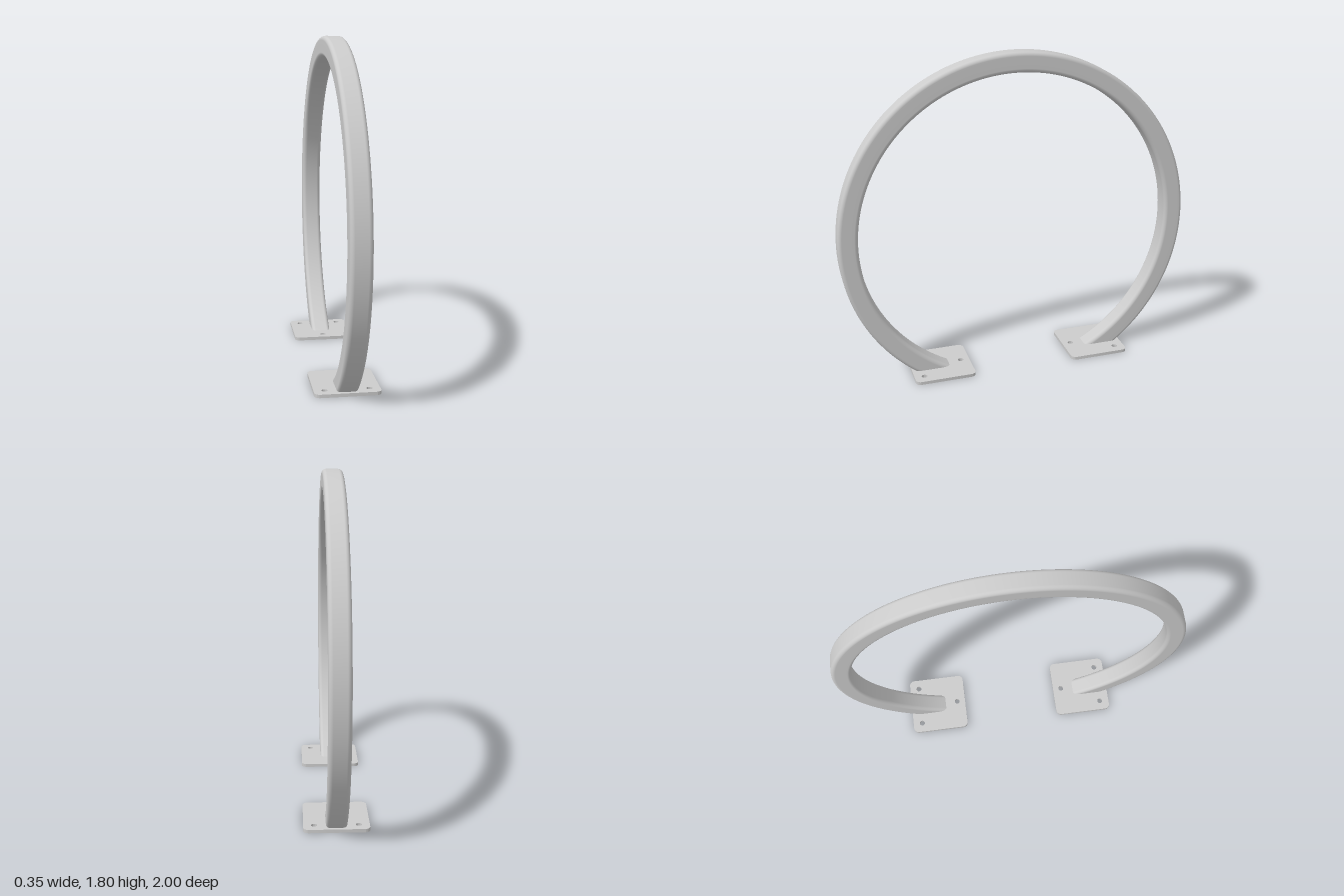
import * as THREE from 'three';
import { toCreasedNormals } from 'three/addons/utils/BufferGeometryUtils.js';

const CENTRE_Y = 0.805, RING_R = 0.945, PLATE_T = 0.018;
const PLATE_HALF = 0.173, PLATE_Z = 0.463;

// Rounded square cross-section, counter-clockwise
function roundedSquare(half, radius, steps = 6) {
  const points = [];
  for (let c = 0; c < 4; c++) {
    const mid = Math.PI / 4 + c * Math.PI / 2;
    const cx = Math.sign(Math.cos(mid)) * (half - radius);
    const cy = Math.sign(Math.sin(mid)) * (half - radius);
    for (let k = 0; k <= steps; k++) {
      const a = (c + k / steps) * Math.PI / 2;
      points.push([cx + radius * Math.cos(a), cy + radius * Math.sin(a)]);
    }
  }
  return points;
}

// Sweep a section round the ring; each lengthwise line stops on the plate's top plane
function ringWall(section, inward) {
  const loops = 144, n = section.length, positions = [], index = [];
  for (let i = 0; i <= loops; i++) {
    for (const [x, offset] of section) {
      const r = RING_R + offset;
      const end = Math.PI - Math.acos((CENTRE_Y - PLATE_T) / r);
      const a = end * (2 * i / loops - 1);
      positions.push(x, CENTRE_Y + r * Math.cos(a), r * Math.sin(a));
    }
  }
  for (let i = 0; i < loops; i++) {
    for (let j = 0; j < n; j++) {
      const k = (j + 1) % n;
      const a = i * n + j, b = i * n + k, c = a + n, d = b + n;
      if (inward) index.push(a, c, b, b, c, d);
      else index.push(a, b, c, b, d, c);
    }
  }
  const geometry = new THREE.BufferGeometry();
  geometry.setAttribute('position', new THREE.Float32BufferAttribute(positions, 3));
  geometry.setIndex(index);
  geometry.computeVertexNormals();
  return geometry;
}

// Rounded plate with three bolt holes and a drain hole under the tube
function plateGeometry() {
  const h = PLATE_HALF, r = 0.03;
  const shape = new THREE.Shape();
  shape.absarc(h - r, h - r, r, 0, Math.PI / 2);
  shape.absarc(r - h, h - r, r, Math.PI / 2, Math.PI);
  shape.absarc(r - h, r - h, r, Math.PI, Math.PI * 1.5);
  shape.absarc(h - r, r - h, r, Math.PI * 1.5, Math.PI * 2);
  shape.closePath();
  const holes = [[-0.116, 0.117, 0.016], [0.116, 0.117, 0.016], [0, -0.122, 0.016], [0, 0.036, 0.043]];
  for (const [x, y, radius] of holes) {
    const hole = new THREE.Path();
    hole.absarc(x, y, radius, 0, Math.PI * 2, true);
    shape.holes.push(hole);
  }
  const geometry = new THREE.ExtrudeGeometry(shape, { depth: PLATE_T, bevelEnabled: false, curveSegments: 16 });
  geometry.rotateX(-Math.PI / 2);
  geometry.translate(0, 0, -PLATE_Z);
  return toCreasedNormals(geometry, 0.7);
}

export function createModel() {
  const model = new THREE.Group();
  model.name = 'hoopRack';
  const material = new THREE.MeshStandardMaterial({ color: 0xcccccc });
  const add = (name, geometry) => {
    const mesh = new THREE.Mesh(geometry, material);
    mesh.name = name;
    model.add(mesh);
    return mesh;
  };

  // Hollow square tube bent into an open ring
  add('hoopTube', ringWall(roundedSquare(0.055, 0.022), false));
  add('hoopTubeInside', ringWall(roundedSquare(0.045, 0.012), true));

  // Base plates, the front one turned round
  const plate = plateGeometry();
  add('backPlate', plate);
  add('frontPlate', plate).rotation.y = Math.PI;

  return model;
}
